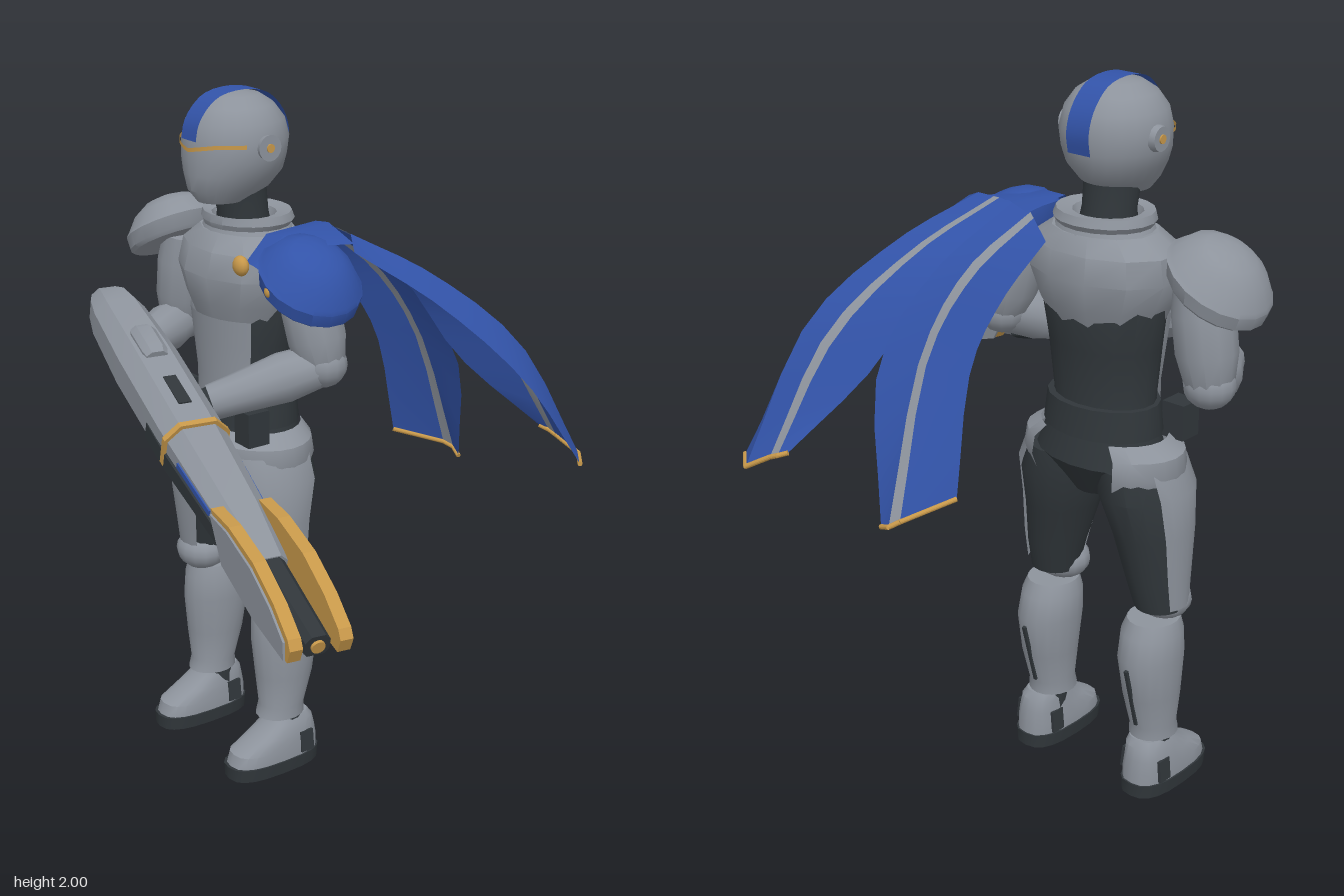
import * as THREE from 'three';
import { toCreasedNormals } from 'three/addons/utils/BufferGeometryUtils.js';

const V = (x, y, z) => new THREE.Vector3(x, y, z);
const paint = (name, color) => {
  const m = new THREE.MeshStandardMaterial({ color, side: THREE.DoubleSide });
  m.name = name;
  return m;
};

// Surface through rows of points
function grid(rows) {
  const p = [];
  const tri = (a, b, c) => {
    if (a.distanceTo(b) > 1e-6 && b.distanceTo(c) > 1e-6 && a.distanceTo(c) > 1e-6) for (const v of [a, b, c]) p.push(v.x, v.y, v.z);
  };
  for (let i = 0; i < rows.length - 1; i++) for (let j = 0; j < rows[i].length - 1; j++) {
    tri(rows[i][j], rows[i][j + 1], rows[i + 1][j + 1]);
    tri(rows[i][j], rows[i + 1][j + 1], rows[i + 1][j]);
  }
  const g = new THREE.BufferGeometry();
  g.setAttribute('position', new THREE.Float32BufferAttribute(p, 3));
  return toCreasedNormals(g, 0.6);
}

// Unit outline: angle 0 faces +z and grows toward +x; p > 2 makes it boxier
function outline(n = 18, a0 = 0, a1 = Math.PI * 2, p = 2) {
  const f = v => Math.sign(v) * Math.abs(v) ** (2 / p);
  return Array.from({ length: n + 1 }, (_, i) => {
    const a = a0 + (a1 - a0) * i / n;
    return [f(Math.sin(a)), f(Math.cos(a))];
  });
}
const ROUND = outline();
const CHAMFER = [[-.55, 1], [.55, 1], [1, .45], [1, -.6], [.7, -1], [-.7, -1], [-1, -.6], [-1, .45], [-.55, 1]];

// Rings are [y, radiusX, radiusZ, centreX, centreZ], from bottom to top
function loft(rings, shape = ROUND, capped = true) {
  const rows = rings.map(([y, rx, rz = rx, cx = 0, cz = 0]) => shape.map(([u, v]) => V(cx + rx * u, y, cz + rz * v)));
  if (capped) {
    const cap = ([y, , , cx = 0, cz = 0]) => shape.map(() => V(cx, y, cz));
    rows.unshift(cap(rings[0]));
    rows.push(cap(rings[rings.length - 1]));
  }
  return grid(rows);
}

export function createModel() {
  const grey = paint('armour grey', 0x8d939c), dark = paint('undersuit dark', 0x30363a);
  const blue = paint('cloth blue', 0x3253a8), gold = paint('trim gold', 0xc7984a);
  const root = new THREE.Group();
  const body = new THREE.Group();
  body.name = 'body';
  body.position.x = -0.33;
  root.add(body);

  const add = (parent, name, geo, mat, x = 0, y = 0, z = 0) => {
    const m = new THREE.Mesh(geo, mat);
    m.name = name;
    m.position.set(x, y, z);
    parent.add(m);
    return m;
  };
  const box = (parent, name, mat, w, h, d, x, y, z) => add(parent, name, new THREE.BoxGeometry(w, h, d), mat, x, y, z);
  // Limb between two points, rings are [fraction, radius]
  const limb = (parent, name, mat, a, b, rings) => {
    const d = b.clone().sub(a), len = d.length();
    const m = add(parent, name, loft(rings.map(([t, r]) => [t * len, r]), outline(12)), mat, a.x, a.y, a.z);
    m.quaternion.setFromUnitVectors(V(0, 1, 0), d.normalize());
    return m;
  };
  const ball = (parent, name, mat, x, y, z, rx, ry, rz) => {
    const m = add(parent, name, new THREE.SphereGeometry(1, 14, 10), mat, x, y, z);
    m.scale.set(rx, ry, rz);
    return m;
  };

  // Helmet
  add(body, 'helmet', loft([[1.70, .062, .07, 0, .105], [1.735, .095, .122, 0, .08], [1.78, .125, .143, 0, .064], [1.82, .14, .148, 0, .06],
    [1.87, .145, .15, 0, .055], [1.92, .133, .138, 0, .055], [1.96, .105, .108, 0, .055], [1.985, .065, .07, 0, .055], [2, .01, .01, 0, .055]],
    outline(24)), grey);
  const crest = new THREE.CatmullRomCurve3([V(0, 1.876, .207), V(0, 1.92, .197), V(0, 1.963, .166), V(0, 1.99, .126), V(0, 2.001, .055),
    V(0, 1.99, -.018), V(0, 1.963, -.057), V(0, 1.92, -.088), V(0, 1.87, -.1), V(0, 1.82, -.092)]);
  add(body, 'helmet stripe', grid(crest.getPoints(24).map(p => [-1, 1].map(s => V(s * .036, p.y, p.z)))), blue);
  const brow = outline(16, -1.2, 1.2);
  add(body, 'brow trim', grid([0, .011].map(h => brow.map(([u, v]) =>
    V(.149 * u, 1.862 + h - .018 * Math.max(0, 1 - Math.abs(u) * 1.6), .055 + .155 * v)))), gold);
  for (const s of [-1, 1]) {
    add(body, 'ear disc', new THREE.CylinderGeometry(.032, .036, .022, 16), grey, s * .143, 1.86, .045).rotation.z = Math.PI / 2;
    add(body, 'ear cap', new THREE.CylinderGeometry(.012, .012, .006, 12), gold, s * .155, 1.86, .045).rotation.z = Math.PI / 2;
  }
  add(body, 'neck', loft([[1.58, .085, .085, 0, .03], [1.66, .072, .072, 0, .035], [1.76, .075, .08, 0, .05]]), dark);

  // Torso
  add(body, 'undersuit torso', loft([[.88, .07, .08, 0, .03], [.98, .2, .14, 0, .03], [1.08, .16, .12, 0, .03], [1.15, .15, .112, 0, .035],
    [1.3, .165, .125, 0, .03], [1.45, .19, .13, 0, .02], [1.55, .15, .1, 0, .02]]), dark);
  add(body, 'chest plate', loft([[1.36, .16, .13, 0, .035], [1.42, .19, .155, 0, .032], [1.5, .225, .172, 0, .03], [1.57, .215, .158, 0, .025],
    [1.615, .15, .125, 0, .02]], outline(12, Math.PI / 12, Math.PI * 2 + Math.PI / 12)), grey);
  add(body, 'collar', loft([[1.59, .15, .13, 0, .02], [1.625, .132, .118, 0, .02], [1.64, .142, .126, 0, .018], [1.662, .135, .12, 0, .02],
    [1.655, .095, .09, 0, .03], [1.62, .08, .08, 0, .03]], ROUND, false), grey);
  add(body, 'abdomen plate', loft([[1.13, .16, .125, 0, .035], [1.2, .16, .125, 0, .035], [1.3, .175, .138, 0, .03], [1.38, .185, .145, 0, .03]],
    outline(10, -.95, .95), false), grey);
  add(body, 'belt', loft([[1.06, .175, .135, 0, .03], [1.145, .165, .128, 0, .03]]), dark);
  box(body, 'buckle', grey, .075, .05, .02, 0, 1.11, .162);

  for (const s of [-1, 1]) {
    box(body, 'belt pouch', dark, .07, .1, .07, s * .178, 1.09, .135);
    add(body, 'hip plate', loft([[.93, .232, .16, 0, .04], [.97, .247, .172, 0, .04], [1.02, .24, .165, 0, .04], [1.055, .19, .14, 0, .035]],
      outline(10, s * .15, s * 2.55), false), grey);
    // Leg
    const thigh = [[.56, .068, .07, s * .185, .06], [.65, .08, .09, s * .175, .055], [.78, .1, .115, s * .155, .055],
      [.9, .118, .14, s * .135, .045], [.98, .1, .13, s * .12, .04]];
    add(body, 'undersuit leg', loft(thigh), dark);
    add(body, 'thigh plate', loft(thigh.map(([y, rx, rz, x, z]) => [y + .015, rx + .012, rz + .012, x, z]),
      outline(12, s * -.6, s * 2.1), false), grey);
    ball(body, 'knee pad', grey, s * .18, .575, .085, .082, .062, .075);
    add(body, 'shin guard', loft([[.165, .066, .075, s * .185, .055], [.2, .064, .07, s * .185, .05], [.3, .076, .09, s * .185, .04],
      [.42, .086, .105, s * .182, .035], [.49, .083, .095, s * .18, .04], [.53, .07, .08, s * .18, .045]]), grey);
    box(body, 'calf seam', dark, .01, .2, .009, s * .184, .31, -.052).rotation.x = -.27;
    add(body, 'ankle', loft([[.1, .058, .06, s * .19, .035], [.2, .055, .058, s * .188, .045]]), dark);
    // Boot
    const sole = outline(20, 0, Math.PI * 2, 2.7);
    add(body, 'boot sole', loft([[0, .072, .153, s * .195, .095], [.04, .075, .155, s * .195, .095]], sole), dark);
    add(body, 'boot', loft([[.04, .07, .148, s * .195, .093], [.075, .07, .142, s * .195, .088], [.11, .064, .108, s * .195, .06],
      [.145, .058, .075, s * .193, .035], [.165, .05, .06, s * .19, .035]], sole), grey);
    for (const k of [-1, 1]) box(body, 'boot side panel', dark, .009, .065, .045, s * .195 + k * .065, .08, .01).rotation.z = k * .1;
  }

  // Arms
  const arms = [
    { side: 'right', sh: V(-.63, 1.53, .03), el: V(-.67, 1.26, .03), wr: V(-.56, 1.235, .26), hand: V(-.49, 1.225, .32), s: -1, pad: V(-.67, 1.508, .045) },
    { side: 'left', sh: V(-.03, 1.53, .04), el: V(.025, 1.3, .02), wr: V(-.105, 1.21, .3), hand: V(-.16, 1.17, .37), s: 1, pad: V(.005, 1.51, .05) }];
  for (const { side, sh, el, wr, hand, s, pad } of arms) {
    limb(root, side + ' upper arm', grey, sh, el, [[0, .07], [.3, .083], [.7, .082], [1, .065], [1.12, .04]]);
    ball(root, side + ' elbow', grey, el.x, el.y, el.z, .07, .065, .068);
    limb(root, side + ' forearm', grey, el, wr, [[0, .06], [.35, .07], [.8, .055], [1, .05]]);
    limb(root, side + ' glove', dark, wr, hand, [[-.15, .045], [.4, .045], [1, .05], [1.25, .03]]);
    for (let i = 0; i < 4; i++) {
      const f = hand.clone().add(V(-.04 + i * .028, .012 - i * .009, 0));
      limb(root, side + ' finger', dark, f, f.clone().add(V(.05, -.02, .04)), [[0, .016], [1, .013]]);
    }
    const p = add(root, side + ' shoulder pad', loft([[-.01, .132, .13], [0, .142, .14], [.035, .15, .146, -s * .012], [.045, .142, .136, -s * .012],
      [.085, .112, .108, -s * .018], [.11, .07, .07, -s * .02], [.12, .03, .03, -s * .02]]), s > 0 ? blue : grey, pad.x, pad.y, pad.z);
    p.rotation.z = -s * .53;
  }

  // Shoulder drape and clasps
  add(root, 'shoulder drape', grid([[V(-.125, 1.575, .165), V(-.08, 1.575, .17), V(-.03, 1.55, .15)],
    [V(-.135, 1.64, .09), V(-.07, 1.645, .08), V(.0, 1.63, .06)],
    [V(-.17, 1.64, -.1), V(-.09, 1.655, -.085), V(.06, 1.63, -.06)]]), blue);
  ball(root, 'cape clasp', gold, -.12, 1.57, .185, .028, .028, .02);
  ball(root, 'small clasp', gold, .012, 1.53, .188, .013, .016, .01);

  // Cape: two tails, each lofted across lengthwise curves
  const column = pts => new THREE.CatmullRomCurve3(pts.map(p => V(...p))).getPoints(10);
  const tails = [
    [[[-.24, 1.58, -.11], [-.19, 1.44, -.22], [-.165, 1.28, -.31], [-.2, .945, -.41]],
      [[-.19, 1.63, -.1], [-.12, 1.5, -.25], [-.075, 1.31, -.37], [-.12, .9, -.54]],
      [[-.17, 1.64, -.09], [-.095, 1.51, -.25], [-.052, 1.31, -.375], [-.098, .885, -.56]],
      [[-.1, 1.65, -.08], [.0, 1.49, -.27], [.065, 1.25, -.42], [-.06, .87, -.55]]],
    [[[-.1, 1.65, -.08], [.0, 1.49, -.27], [.075, 1.25, -.42], [.2, 1.03, -.63]],
      [[-.05, 1.652, -.075], [.06, 1.53, -.26], [.17, 1.32, -.47], [.225, 1.02, -.645]],
      [[-.03, 1.652, -.075], [.085, 1.53, -.26], [.195, 1.33, -.475], [.25, 1.01, -.65]],
      [[.03, 1.65, -.07], [.15, 1.54, -.25], [.28, 1.34, -.46], [.32, .97, -.675]],
      [[.1, 1.62, -.03], [.23, 1.47, -.22], [.34, 1.24, -.44], [.385, .97, -.62]]]];
  for (const tail of tails) {
    const cols = tail.map(column);
    cols.slice(1).forEach((c, i) => {
      const stripe = i === 1;
      add(root, stripe ? 'cape stripe' : 'cape panel', grid([cols[i], c]), stripe ? grey : blue);
      limb(root, 'cape hem', gold, cols[i][10], c[10], [[0, .007], [1, .007]]);
    });
  }

  // Rifle: local y runs to the muzzle, z up, x to the front side
  const rifle = new THREE.Group();
  rifle.name = 'rifle';
  const from = V(-.6, 1.385, .325), axis = V(1.4, -.47, .265).normalize();
  const up = V(0, 1, 0).addScaledVector(axis, -axis.y).normalize();
  rifle.quaternion.setFromRotationMatrix(new THREE.Matrix4().makeBasis(axis.clone().cross(up), axis, up));
  rifle.position.copy(from);
  root.add(rifle);
  add(rifle, 'rifle body', loft([[-.01, .045, .035], [.03, .062, .055], [.1, .075, .065], [.33, .086, .074], [.64, .086, .068],
    [1, .07, .05], [1.19, .045, .035]], CHAMFER), grey);
  add(rifle, 'rifle lower housing', loft([[.56, .088, .044, 0, -.03], [.7, .089, .042, 0, -.028], [1.02, .074, .034, 0, -.022]], CHAMFER), dark);
  add(rifle, 'rifle band', loft([[.68, .092, .075], [.698, .092, .075]], CHAMFER), gold);
  add(rifle, 'rifle barrel', loft([[1.1, .038, .032], [1.47, .033, .03]], CHAMFER), dark);
  add(rifle, 'muzzle', new THREE.CylinderGeometry(.018, .018, .01, 12), gold, 0, 1.473, 0);
  add(rifle, 'rifle sight', loft([[.26, .03, .02], [.28, .036, .028], [.37, .036, .028], [.39, .03, .02]], CHAMFER), grey, 0, 0, .068);
  box(rifle, 'top vent', dark, .036, .12, .008, 0, .54, .069);
  box(rifle, 'grip', dark, .045, .06, .1, -.01, .17, -.09);
  for (const s of [-1, 1]) box(rifle, 'rifle light strip', blue, .008, .2, .016, s * .0765, .87, .01).rotation.z = s * .045;
  // Muzzle prongs
  const prong = (name, mat, pts, depth, x) => {
    const shape = new THREE.Shape(pts.map(p => new THREE.Vector2(...p)));
    const g = new THREE.ExtrudeGeometry(shape, { depth, bevelEnabled: false });
    g.applyMatrix4(new THREE.Matrix4().makeBasis(V(0, 1, 0), V(0, 0, 1), V(1, 0, 0)));
    add(rifle, name, g, mat, x);
  };
  const edge = [[.99, .045], [1.1, .075], [1.25, .088], [1.38, .07], [1.47, .04], [1.49, .02], [1.485, -.02], [1.3, -.045], [1.1, -.045]];
  const face = [[1, .035], [1.1, .06], [1.25, .071], [1.37, .054], [1.46, .024], [1.475, -.02], [1.3, -.047], [1.1, -.047]];
  for (const s of [-1, 1]) {
    prong('muzzle prong', gold, edge, .034, s * .065 - .017);
    prong('prong side plate', grey, face, .007, s * .0845 - .0035);
  }
  return root;
}
